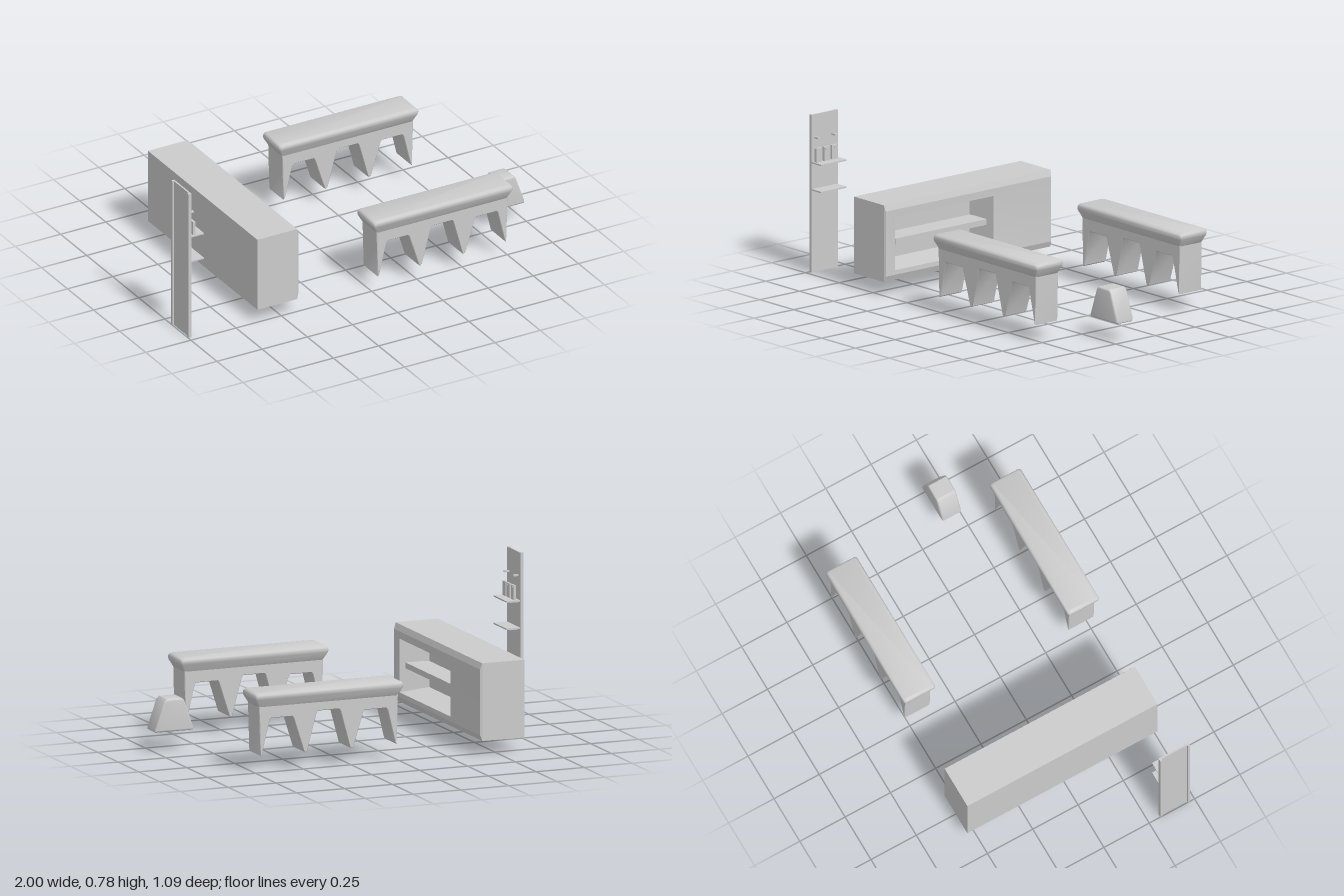
import * as THREE from 'three';
import { toCreasedNormals } from 'three/addons/utils/BufferGeometryUtils.js';

const grey = new THREE.MeshStandardMaterial({ color: 0xcccccc });

function addMesh(parent, name, geometry) {
  const mesh = new THREE.Mesh(geometry, grey);
  mesh.name = name;
  parent.add(mesh);
  return mesh;
}

// Box given by its lower and upper limits
function addBox(parent, name, [x0, x1], [y0, y1], [z0, z1]) {
  const mesh = addMesh(parent, name, new THREE.BoxGeometry(x1 - x0, y1 - y0, z1 - z0));
  mesh.position.set((x0 + x1) / 2, (y0 + y1) / 2, (z0 + z1) / 2);
  return mesh;
}

// Closed skin over a row of rings, each counterclockwise seen from the end of the row
function loft(rings, crease = 0.4) {
  const pos = [];
  const n = rings[0].length;
  const tri = (a, b, c) => pos.push(...a, ...b, ...c);
  for (let r = 0; r < rings.length - 1; r++) {
    const a = rings[r], b = rings[r + 1];
    for (let i = 0; i < n; i++) {
      const j = (i + 1) % n;
      tri(a[i], a[j], b[j]);
      tri(a[i], b[j], b[i]);
    }
  }
  const first = rings[0], last = rings[rings.length - 1];
  for (let i = 1; i < n - 1; i++) {
    tri(first[0], first[i + 1], first[i]);
    tri(last[0], last[i], last[i + 1]);
  }
  const g = new THREE.BufferGeometry();
  g.setAttribute('position', new THREE.Float32BufferAttribute(pos, 3));
  return toCreasedNormals(g, crease);
}

const ringX = (x, y0, y1, z0, z1) => [[x, y0, z1], [x, y0, z0], [x, y1, z0], [x, y1, z1]];

// Horizontal rectangle with cut corners
function ringY(y, hx, hz, c = 0.008) {
  return [
    [-hx, y, hz - c], [-hx + c, y, hz], [hx - c, y, hz], [hx, y, hz - c],
    [hx, y, -hz + c], [hx - c, y, -hz], [-hx + c, y, -hz], [-hx, y, -hz + c],
  ];
}

// Profile in x/y drawn out along z, centred, with softened edges
function extruded(points, depth, bevel, segments) {
  const shape = new THREE.Shape(points.map(([x, y]) => new THREE.Vector2(x, y)));
  const g = new THREE.ExtrudeGeometry(shape, {
    depth: depth - 2 * bevel, bevelEnabled: true, bevelSize: bevel,
    bevelThickness: bevel, bevelOffset: -bevel, bevelSegments: segments,
  });
  g.translate(0, 0, bevel - depth / 2);
  return toCreasedNormals(g, 0.6);
}

function createCabinet() {
  const g = new THREE.Group();
  g.name = 'cabinet';
  // Outer skin, front frame and tapered recess in one row of sections
  addMesh(g, 'cabinetBody', loft([
    ringX(-0.635, 0.07, 0.45, -0.545, 0.505),
    ringX(-0.415, 0.07, 0.45, -0.545, 0.505),
    ringX(-0.405, 0.098, 0.42, -0.54, 0.5),
    ringX(-0.407, 0.12, 0.383, -0.18, 0.44),
    ringX(-0.55, 0.14, 0.372, -0.15, 0.41),
  ], 0.2));
  addBox(g, 'cabinetShelf', [-0.56, -0.43], [0.24, 0.268], [-0.155, 0.42]);
  return g;
}

function createBench() {
  const g = new THREE.Group();
  g.name = 'bench';
  // Seat slab: flared underside, rounded upper edge
  addMesh(g, 'benchTop', loft([
    ringY(0.325, 0.363, 0.07), ringY(0.362, 0.383, 0.084), ringY(0.372, 0.385, 0.086),
    ringY(0.382, 0.384, 0.085), ringY(0.39, 0.379, 0.08), ringY(0.394, 0.372, 0.073),
  ], 0.9));
  // Legs: one mirrored profile with pointed feet and three arches
  const half = [
    [-0.362, 0.335], [-0.36, 0.24], [-0.355, 0.086], [-0.348, 0.092], [-0.308, 0.258],
    [-0.3, 0.267], [-0.19, 0.267], [-0.182, 0.258], [-0.128, 0.088], [-0.12, 0.084],
    [-0.112, 0.088], [-0.062, 0.274], [-0.054, 0.283],
  ];
  const mirrored = half.slice().reverse().map(([x, y]) => [-x, y]);
  addMesh(g, 'benchLegs', extruded([...half, ...mirrored], 0.14, 0.003, 1));
  return g;
}

function createStool() {
  const points = [
    [-0.1, 0.098], [-0.094, 0.094], [0.094, 0.094], [0.1, 0.098], [0.1, 0.11],
    [0.053, 0.243], [0.04, 0.255], [-0.04, 0.255], [-0.053, 0.243], [-0.1, 0.11],
  ];
  const mesh = new THREE.Mesh(extruded(points, 0.105, 0.01, 3), grey);
  mesh.name = 'stool';
  mesh.position.set(0.897, 0, 0.188);
  return mesh;
}

function createWallPanel() {
  const g = new THREE.Group();
  g.name = 'wallPanel';
  // Shallow channel, open at the back
  addBox(g, 'panelFace', [-0.992, -0.983], [0, 0.78], [0.311, 0.476]);
  for (const z of [0.311, 0.464]) addBox(g, 'panelFlange', [-1, -0.991], [0, 0.78], [z, z + 0.012]);
  // Shelves with their brackets
  for (const y of [0.54, 0.406]) {
    addBox(g, 'panelShelf', [-0.984, -0.913], [y, y + 0.007], [0.315, 0.475]);
    for (const z of [0.343, 0.45]) {
      addBox(g, 'shelfBracket', [-0.984, -0.94], [y - 0.007, y], [z - 0.005, z + 0.005]);
    }
  }
  // Upper pegs
  for (const z of [0.343, 0.45]) {
    addBox(g, 'peg', [-0.984, -0.958], [0.661, 0.669], [z - 0.006, z + 0.006]);
  }
  // Thin plates standing on the upper shelf, two with a small stud
  [0.45, 0.4, 0.35].forEach((z, i) => {
    addBox(g, 'plate', [-0.969, -0.957], [0.547, 0.617], [z - 0.018, z + 0.018]);
    if (i === 0) return;
    const stud = addMesh(g, 'plateStud', new THREE.CylinderGeometry(0.006, 0.006, 0.004, 12));
    stud.rotation.z = Math.PI / 2;
    stud.position.set(-0.956, 0.607, z + (i === 1 ? 0.007 : 0));
  });
  return g;
}

export function createModel() {
  const model = new THREE.Group();
  model.name = 'furnitureSet';
  model.add(createCabinet(), createStool(), createWallPanel());
  for (const z of [0.457, -0.448]) {
    const bench = createBench();
    bench.position.set(0.375, 0, z);
    model.add(bench);
  }
  return model;
}
